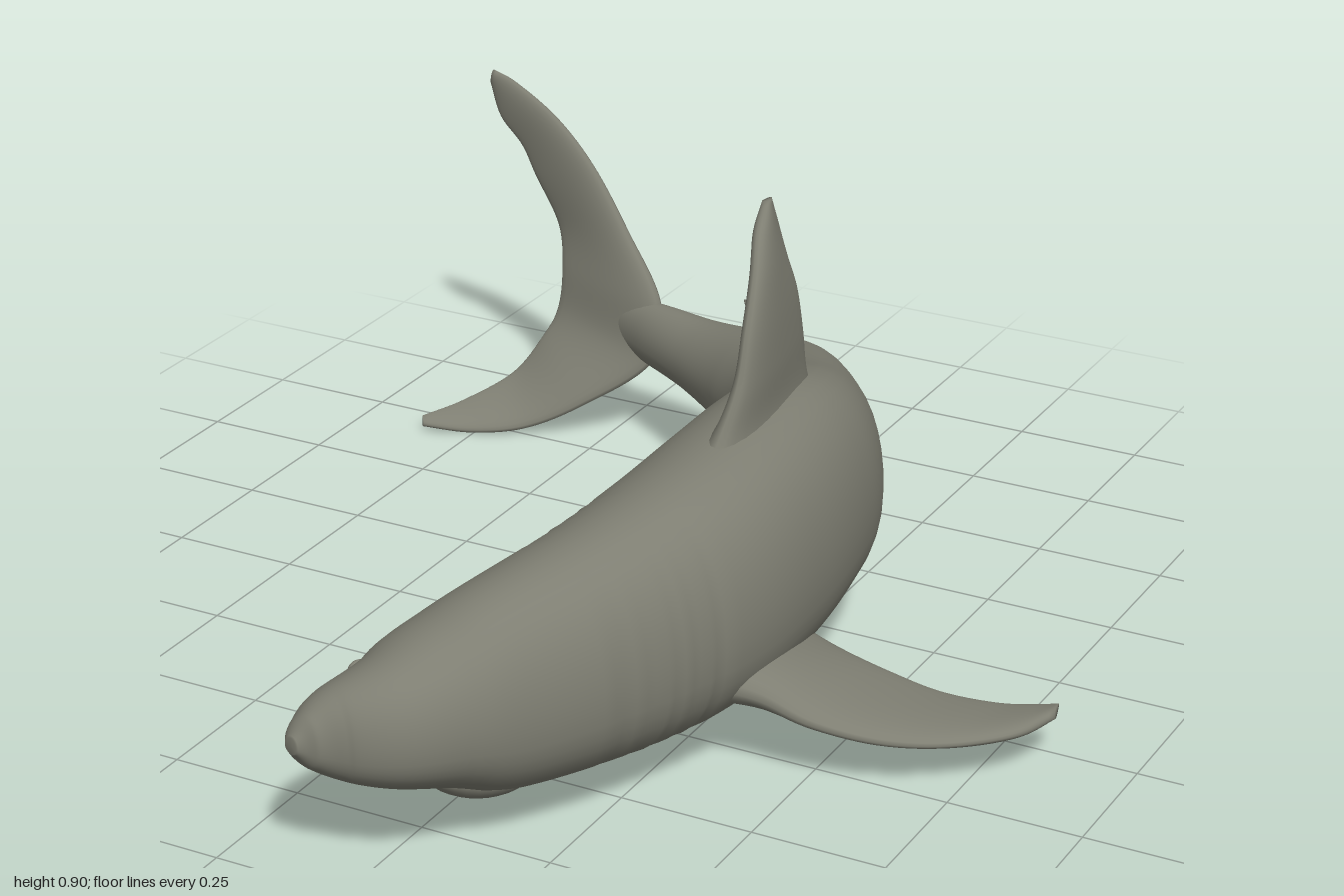
import * as THREE from 'three';

const skinGrey = new THREE.MeshStandardMaterial({ color: 0x7e7e72 });
skinGrey.name = 'skin grey';
const V = (x, y, z) => new THREE.Vector3(x, y, z);

// Smooth curve through points, sampled evenly by point index
const curve = (pts) => new THREE.CatmullRomCurve3(pts, false, 'catmullrom', 0.5);

// Closed skin over a list of rings (each a list of Vector3)
function skin(name, rings) {
  const n = rings[0].length, pos = [], idx = [];
  for (const ring of rings) for (const p of ring) pos.push(p.x, p.y, p.z);
  const last = rings.length - 1;
  const caps = [rings[0], rings[last]].map((ring) => {
    const c = V(0, 0, 0);
    ring.forEach((p) => c.add(p));
    c.divideScalar(n);
    pos.push(c.x, c.y, c.z);
    return pos.length / 3 - 1;
  });
  for (let j = 0; j < n; j++) {
    const k = (j + 1) % n;
    for (let i = 0; i < last; i++) {
      const a = i * n + j, b = i * n + k, c = a + n, d = b + n;
      idx.push(a, c, b, b, c, d);
    }
    idx.push(caps[0], j, k, caps[1], last * n + k, last * n + j);
  }
  const geo = new THREE.BufferGeometry();
  geo.setAttribute('position', new THREE.Float32BufferAttribute(pos, 3));
  geo.setIndex(idx);
  geo.computeVertexNormals();
  const mesh = new THREE.Mesh(geo, skinGrey);
  mesh.name = name;
  return mesh;
}

// Fin lofted through sections: [leading point, trailing point, thickness]
function fin(name, sections, rows = 40, cols = 24) {
  const lead = curve(sections.map((s) => V(...s[0])));
  const trail = curve(sections.map((s) => V(...s[1])));
  const thick = curve(sections.map((s, i) => V(s[2], i, 0)));
  const mid = (t) => lead.getPoint(t).add(trail.getPoint(t)).multiplyScalar(0.5);
  const rings = [];
  for (let i = 0; i <= rows; i++) {
    const t = i / rows, c = mid(t);
    const chord = trail.getPoint(t).sub(lead.getPoint(t));
    const span = mid(Math.min(1, t + 0.02)).sub(mid(Math.max(0, t - 0.02)));
    const normal = span.cross(chord).normalize();
    const half = thick.getPoint(t).x / 2;
    rings.push(Array.from({ length: cols }, (_, j) => {
      const a = (j / cols) * Math.PI * 2;
      return c.clone()
        .addScaledVector(chord, -0.5 * Math.cos(a))
        .addScaledVector(normal, half * Math.sin(a) * (1 + 0.4 * Math.cos(a)));
    }));
  }
  return skin(name, rings);
}

// Body stations along the bent spine: x, z, half width, belly y, back y
function body() {
  const st = [
    [-0.095, 0.997, 0.015, 0.235, 0.265], [-0.085, 0.97, 0.045, 0.2, 0.3],
    [-0.06, 0.925, 0.08, 0.17, 0.335], [0, 0.85, 0.125, 0.14, 0.375],
    [0.04, 0.765, 0.15, 0.11, 0.41], [0.085, 0.67, 0.165, 0.075, 0.445],
    [0.175, 0.46, 0.192, 0.065, 0.495], [0.225, 0.27, 0.205, 0.065, 0.53],
    [0.238, 0.08, 0.2, 0.07, 0.55], [0.23, -0.1, 0.188, 0.08, 0.55],
    [0.205, -0.235, 0.175, 0.085, 0.52], [0.135, -0.41, 0.15, 0.095, 0.455],
    [0.025, -0.595, 0.122, 0.115, 0.395], [-0.11, -0.715, 0.095, 0.13, 0.345],
    [-0.265, -0.805, 0.068, 0.15, 0.305], [-0.42, -0.865, 0.04, 0.165, 0.295],
    [-0.53, -0.89, 0.012, 0.19, 0.28],
  ];
  const spine = curve(st.map((s) => V(s[0], 0, s[1])));
  const size = curve(st.map((s) => V(s[2], s[3], s[4])));
  const rows = 200, cols = 44, rings = [];
  for (let i = 0; i <= rows; i++) {
    const t = i / rows, u = t * (st.length - 1);
    const c = spine.getPoint(t), tan = spine.getTangent(t);
    const s = size.getPoint(t);
    const side = V(-tan.z, 0, tan.x);
    const mid = s.y + (s.z - s.y) * 0.45;
    // five shallow gill grooves on the flanks
    const gill = u > 5.6 && u < 6.6 ? 0.008 * Math.sin((u - 5.6) * 5 * Math.PI) ** 2 : 0;
    rings.push(Array.from({ length: cols }, (_, j) => {
      const a = (j / cols) * Math.PI * 2, sn = Math.sin(a), cs = Math.cos(a);
      const y = sn > 0 ? mid + (s.z - mid) * sn : mid - (mid - s.y) * Math.pow(-sn, 0.85);
      const w = (s.x - gill * Math.abs(cs)) * cs + 0.15 * s.x * Math.max(0, sn) ** 2;
      return c.clone().addScaledVector(side, w).setY(y);
    }));
  }
  return skin('body', rings);
}

function ellipsoid(name, center, radii, turn) {
  const mesh = new THREE.Mesh(new THREE.SphereGeometry(1, 32, 20), skinGrey);
  mesh.name = name;
  mesh.position.set(...center);
  mesh.scale.set(...radii);
  mesh.rotation.y = turn;
  return mesh;
}

export function createModel() {
  const shark = new THREE.Group();
  shark.name = 'shark';
  shark.add(body());

  // Head details, turned with the head
  shark.add(ellipsoid('lowerJaw', [0.07, 0.125, 0.68], [0.112, 0.06, 0.11], -0.43));
  shark.add(ellipsoid('leftEye', [0.118, 0.285, 0.85], [0.012, 0.016, 0.02], -0.6));
  shark.add(ellipsoid('rightEye', [-0.105, 0.285, 0.77], [0.012, 0.016, 0.02], -0.4));

  // Tall dorsal fin, bending sideways toward the tip
  shark.add(fin('dorsalFin', [
    [[0.26, 0.47, 0.25], [0.25, 0.47, -0.23], 0.13],
    [[0.27, 0.545, 0.19], [0.262, 0.555, -0.175], 0.065],
    [[0.28, 0.63, 0.138], [0.265, 0.64, -0.152], 0.045],
    [[0.275, 0.72, 0.095], [0.258, 0.72, -0.14], 0.04],
    [[0.262, 0.8, 0.042], [0.245, 0.785, -0.124], 0.035],
    [[0.24, 0.86, -0.015], [0.225, 0.84, -0.127], 0.03],
    [[0.22, 0.893, -0.085], [0.213, 0.888, -0.122], 0.015],
  ]));

  // Pectoral fins
  shark.add(fin('leftPectoralFin', [
    [[0.34, 0.18, 0.38], [0.36, 0.16, 0.05], 0.1],
    [[0.43, 0.16, 0.345], [0.45, 0.14, 0.065], 0.07],
    [[0.52, 0.125, 0.325], [0.55, 0.115, 0.06], 0.045],
    [[0.63, 0.1, 0.285], [0.65, 0.095, 0.052], 0.035],
    [[0.73, 0.088, 0.22], [0.75, 0.088, 0.03], 0.028],
    [[0.82, 0.088, 0.13], [0.815, 0.088, 0], 0.024],
    [[0.857, 0.092, 0.04], [0.845, 0.092, -0.01], 0.016],
  ]));
  shark.add(fin('rightPectoralFin', [
    [[0.1, 0.16, 0.34], [0.12, 0.15, 0.02], 0.09],
    [[0.02, 0.145, 0.285], [0.03, 0.135, 0.018], 0.06],
    [[-0.08, 0.118, 0.23], [-0.07, 0.112, 0.012], 0.04],
    [[-0.17, 0.093, 0.155], [-0.15, 0.09, -0.035], 0.032],
    [[-0.25, 0.07, 0.06], [-0.21, 0.074, -0.08], 0.027],
    [[-0.295, 0.055, -0.04], [-0.26, 0.06, -0.108], 0.022],
    [[-0.303, 0.05, -0.09], [-0.287, 0.053, -0.107], 0.012],
  ]));

  // Crescent tail fin, from lower tip to upper tip
  shark.add(fin('tailFin', [
    [[-0.842, 0.014, -0.655], [-0.852, 0.03, -0.67], 0.012],
    [[-0.75, 0.002, -0.7], [-0.8, 0.045, -0.755], 0.022],
    [[-0.65, 0.015, -0.745], [-0.73, 0.09, -0.84], 0.028],
    [[-0.54, 0.07, -0.79], [-0.685, 0.165, -0.89], 0.034],
    [[-0.41, 0.17, -0.85], [-0.665, 0.22, -0.915], 0.045],
    [[-0.4, 0.295, -0.87], [-0.665, 0.3, -0.935], 0.045],
    [[-0.5, 0.42, -0.915], [-0.69, 0.385, -0.965], 0.035],
    [[-0.6, 0.53, -0.955], [-0.755, 0.475, -0.985], 0.028],
    [[-0.7, 0.61, -0.982], [-0.79, 0.535, -0.99], 0.024],
    [[-0.8, 0.67, -0.988], [-0.84, 0.59, -0.99], 0.02],
    [[-0.855, 0.69, -0.988], [-0.862, 0.66, -0.988], 0.012],
  ], 80));

  // Small rear fins
  shark.add(fin('secondDorsalFin', [
    [[0.0, 0.35, -0.6], [-0.11, 0.32, -0.71], 0.04],
    [[-0.05, 0.385, -0.64], [-0.115, 0.365, -0.72], 0.025],
    [[-0.11, 0.412, -0.7], [-0.135, 0.41, -0.722], 0.012],
  ], 16));
  shark.add(fin('analFin', [
    [[0.02, 0.15, -0.58], [-0.11, 0.16, -0.71], 0.04],
    [[-0.03, 0.105, -0.635], [-0.1, 0.11, -0.71], 0.025],
    [[-0.07, 0.075, -0.67], [-0.09, 0.078, -0.695], 0.012],
  ], 16));
  shark.add(fin('rightPelvicFin', [
    [[0.09, 0.12, -0.22], [0.06, 0.12, -0.36], 0.04],
    [[0.01, 0.09, -0.27], [0.02, 0.09, -0.36], 0.025],
    [[-0.035, 0.078, -0.32], [-0.02, 0.078, -0.35], 0.012],
  ], 16));
  shark.add(fin('leftPelvicFin', [
    [[0.23, 0.13, -0.24], [0.18, 0.13, -0.38], 0.04],
    [[0.25, 0.085, -0.3], [0.215, 0.085, -0.4], 0.025],
    [[0.25, 0.052, -0.38], [0.235, 0.052, -0.43], 0.012],
  ], 16));
  return shark;
}
